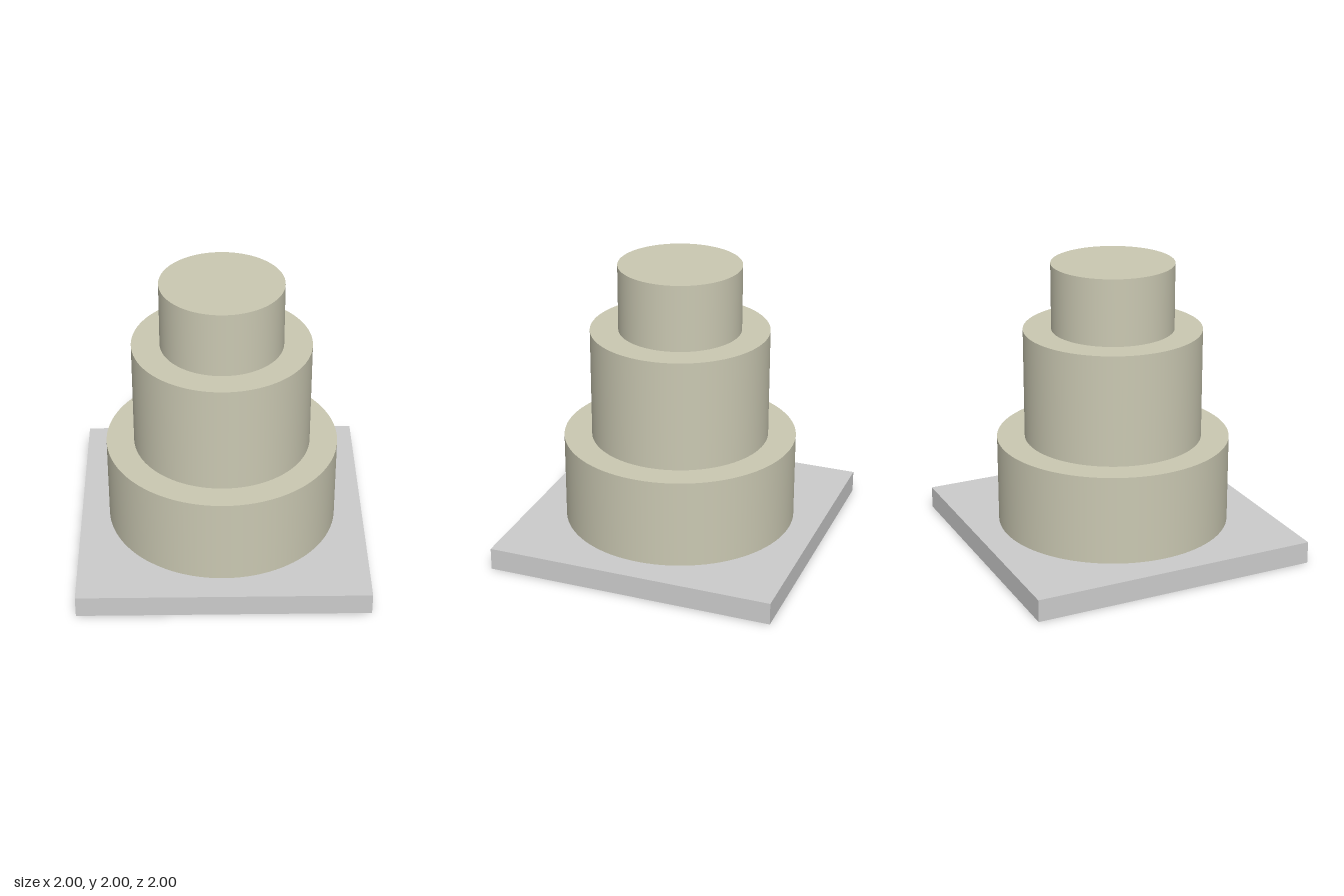
import * as THREE from 'three';

export function createModel() {
  const model = new THREE.Group();
  const grey = new THREE.MeshStandardMaterial({ color: 0xcccccc });
  const cream = new THREE.MeshStandardMaterial({ color: 0xcac8b2 });

  function add(name, geometry, material, x, y, z) {
    const mesh = new THREE.Mesh(geometry, material);
    mesh.name = name;
    mesh.position.set(x, y, z);
    model.add(mesh);
  }

  // Square cake board
  const boardTop = 0.154;
  add('board', new THREE.BoxGeometry(2, boardTop, 2), grey, 0, boardTop / 2, 0);

  // Blank label lying on the front corner of the board
  const label = new THREE.PlaneGeometry(0.475, 0.24).rotateX(-Math.PI / 2);
  add('label', label, grey, -0.643, boardTop + 0.001, 0.756);

  // Stacked round tiers: name, radius, bottom, top
  const tiers = [
    ['bottomTier', 0.805, boardTop, 0.77],
    ['middleTier', 0.613, 0.77, 1.54],
    ['topTier', 0.42, 1.54, 2],
  ];
  for (const [name, radius, bottom, top] of tiers) {
    const geometry = new THREE.CylinderGeometry(radius, radius, top - bottom, 96);
    add(name, geometry, cream, 0, (bottom + top) / 2, 0);
  }

  return model;
}
